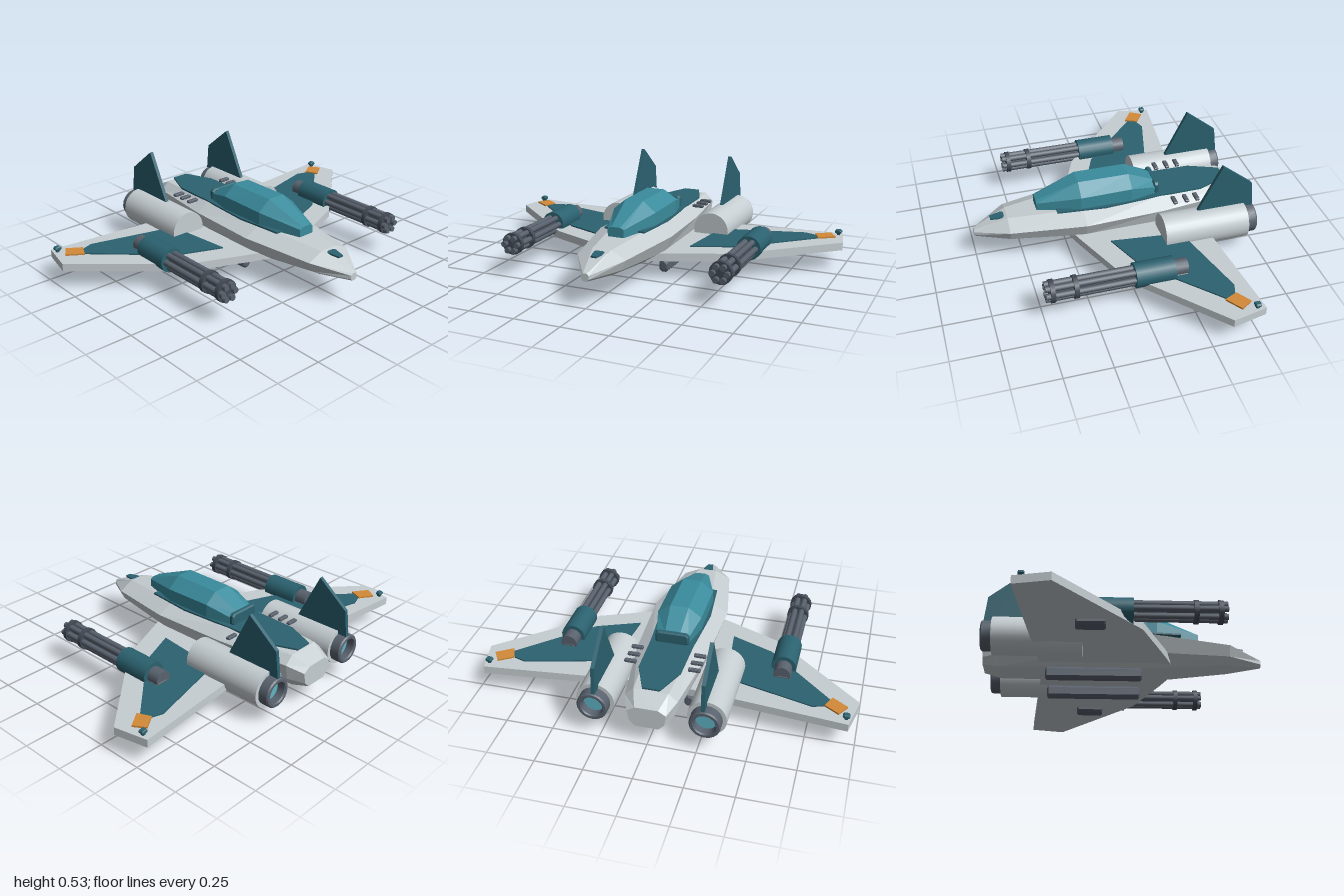
import * as THREE from 'three';
import { toCreasedNormals } from 'three/addons/utils/BufferGeometryUtils.js';

const paint = (name, color) => {
  const m = new THREE.MeshStandardMaterial({ color });
  m.name = name;
  return m;
};

// Lofts mirrored half profiles [x, y] (top to bottom), given front to back.
function loft(sections) {
  const rings = sections.map(([z, half]) => [
    ...half.map(([x, y]) => [x, y, z]),
    ...half.slice().reverse().map(([x, y]) => [-x, y, z]),
  ]);
  const n = rings[0].length, last = rings[rings.length - 1], pos = [];
  const tri = (a, b, c) => pos.push(...a, ...b, ...c);
  for (let i = 0; i < rings.length - 1; i++) {
    for (let j = 0; j < n; j++) {
      const k = (j + 1) % n, p = rings[i], q = rings[i + 1];
      tri(p[j], p[k], q[j]);
      tri(p[k], q[k], q[j]);
    }
  }
  for (let j = 1; j < n - 1; j++) {
    tri(rings[0][0], rings[0][j + 1], rings[0][j]);
    tri(last[0], last[j], last[j + 1]);
  }
  const g = new THREE.BufferGeometry();
  g.setAttribute('position', new THREE.Float32BufferAttribute(pos, 3));
  g.computeVertexNormals();
  return g;
}

// Box with all edges cut at c, centred on the origin.
function chamferBox(w, h, l, c) {
  const ring = (i) => {
    const x = w / 2 - i, y = h / 2 - i;
    return [[x - c, y], [x, y - c], [x, -y + c], [x - c, -y]];
  };
  const e = c * 0.6;
  return loft([[l / 2, ring(e)], [l / 2 - e, ring(0)], [-l / 2 + e, ring(0)], [-l / 2, ring(e)]]);
}

// Flat plate from plan points [x, z], with its top face at y = top.
function plate(points, top, thick) {
  const g = new THREE.ExtrudeGeometry(
    new THREE.Shape(points.map(([x, z]) => new THREE.Vector2(x, z))),
    { depth: thick, bevelEnabled: false });
  return g.rotateX(Math.PI / 2).translate(0, top, 0);
}

// Cylinder along z between two z positions.
function rod(r, z0, z1, sides) {
  return new THREE.CylinderGeometry(r, r, z1 - z0, sides)
    .rotateX(Math.PI / 2).translate(0, 0, (z0 + z1) / 2);
}

export function createModel() {
  const hull = paint('hull grey', 0xc6ced2);
  const teal = paint('dark teal', 0x2b6270);
  const glass = paint('canopy teal', 0x3b8c9d);
  const metal = paint('gunmetal', 0x59626e);
  const dark = paint('dark metal', 0x434b56);
  const orange = paint('orange', 0xd48a38);
  const glow = paint('engine glow', 0x62b4c6);

  const model = new THREE.Group();
  model.name = 'fighter';
  const add = (name, geo, mat, x = 0, y = 0, z = 0, parent = model) => {
    const m = new THREE.Mesh(geo, mat);
    m.name = name;
    m.position.set(x, y, z);
    parent.add(m);
    return m;
  };

  // Fuselage
  add('fuselage', loft([
    [0.75, [[0.01, 0.18], [0.02, 0.17], [0.02, 0.15], [0.01, 0.14]]],
    [0.57, [[0.05, 0.25], [0.135, 0.21], [0.11, 0.155], [0.06, 0.125]]],
    [0.17, [[0.11, 0.277], [0.208, 0.23], [0.17, 0.145], [0.09, 0.09]]],
    [-0.25, [[0.115, 0.278], [0.19, 0.23], [0.165, 0.145], [0.09, 0.09]]],
    [-0.66, [[0.09, 0.268], [0.135, 0.225], [0.125, 0.145], [0.08, 0.09]]],
    [-0.75, [[0.06, 0.225], [0.1, 0.2], [0.09, 0.14], [0.06, 0.11]]],
  ]), hull);

  // Canopy, its base deck and rear frame
  const deck = [[0.045, -0.66], [0.11, -0.5], [0.115, -0.27], [0.138, 0.05], [0.115, 0.31]];
  add('deck', plate([...deck, ...deck.map(([x, z]) => [-x, z]).reverse()], 0.283, 0.009), teal);
  add('canopy', loft([
    [0.41, [[0.025, 0.32], [0.045, 0.31], [0.045, 0.268]]],
    [0.18, [[0.05, 0.41], [0.12, 0.352], [0.12, 0.275]]],
    [-0.1, [[0.05, 0.41], [0.12, 0.357], [0.12, 0.275]]],
    [-0.25, [[0.04, 0.338], [0.085, 0.318], [0.085, 0.275]]],
  ]), glass);
  add('canopyFrame', chamferBox(0.18, 0.07, 0.03, 0.012), teal, 0, 0.31, -0.25);

  // Nose sensor
  add('noseSensor', plate([[-0.028, 0.595], [-0.018, 0.585], [0.018, 0.585], [0.028, 0.595],
    [0.015, 0.66], [-0.015, 0.66]], 0, 0.009).rotateX(0.08), teal, 0, 0.292, 0);

  for (const s of [1, -1]) {
    const side = new THREE.Group();
    side.name = s > 0 ? 'leftSide' : 'rightSide';
    model.add(side);
    const put = (name, geo, mat, x = 0, y = 0, z = 0, parent = side) =>
      add(name, geo, mat, s * x, y, z, parent);
    const flat = (pts, top, thick) => plate(pts.map(([x, z]) => [s * x, z]), top, thick);

    // Wing with painted panels
    put('wing', flat([[0.08, 0.26], [0.2, 0.215], [0.52, 0.08], [1, -0.35], [0.96, -0.533],
      [0.39, -0.475], [0.08, -0.445]], 0.15, 0.043), hull);
    put('wingPanel', flat([[0.27, 0.06], [0.5, -0.035], [0.86, -0.375], [0.83, -0.42],
      [0.77, -0.44], [0.39, -0.34], [0.31, -0.32]], 0.157, 0.008), teal);
    put('wingMarking', flat([[0.862, -0.355], [0.945, -0.412], [0.905, -0.475], [0.83, -0.425]],
      0.163, 0.009), orange);
    put('tipLight', chamferBox(0.036, 0.022, 0.03, 0.007), teal, 0.945, 0.17, -0.49);
    put('tipLightBase', new THREE.BoxGeometry(0.016, 0.016, 0.016), teal, 0.945, 0.156, -0.49);

    // Engine with open nozzle
    const engine = new THREE.Group();
    engine.name = 'engine';
    engine.position.set(s * 0.287, 0.17, 0);
    side.add(engine);
    add('engineBody', rod(0.1, -0.68, -0.215, 28), hull, 0, 0, 0, engine);
    const ring = [[0.08, 0.67], [0.08, 0.73], [0.074, 0.737], [0.06, 0.737], [0.055, 0.73], [0.055, 0.682]];
    add('nozzle', toCreasedNormals(new THREE.LatheGeometry(
      ring.map(([r, h]) => new THREE.Vector2(r, h)), 20).rotateX(-Math.PI / 2), 0.5), metal, 0, 0, 0, engine);
    add('nozzleGlow', rod(0.055, -0.69, -0.675, 20), glow, 0, 0, 0, engine);

    // Tail fin
    const fin = new THREE.Shape([[0.41, 0.255], [0.545, 0.53], [0.715, 0.395], [0.732, 0.25],
      [0.68, 0.25]].map(([x, y]) => new THREE.Vector2(x, y)));
    put('tailFin', new THREE.ExtrudeGeometry(fin, { depth: 0.02, bevelEnabled: false })
      .translate(0, 0, -0.01).rotateY(Math.PI / 2), teal, 0.277);

    // Rotary gun under a housing, on a pylon through the wing
    const gun = new THREE.Group();
    gun.name = 'gun';
    gun.position.set(s * 0.585, 0.174, 0);
    side.add(gun);
    add('gunHousing', rod(0.066, -0.18, 0.03, 18), teal, 0, 0, 0, gun);
    add('gunRear', rod(0.045, -0.25, -0.17, 14), metal, 0, 0, 0, gun);
    add('gunCore', rod(0.022, 0, 0.47, 10), dark, 0, 0, 0, gun);
    for (let i = 0; i < 6; i++) {
      const a = (i * Math.PI) / 3;
      add('barrel', rod(0.016, 0, 0.49, 8), metal, 0.038 * Math.cos(a), 0.038 * Math.sin(a), 0, gun);
    }
    for (const z of [0.335, 0.455]) {
      add('barrelClamp', rod(0.06, z - 0.012, z + 0.012, 16), dark, 0, 0, 0, gun);
    }
    put('gunPylon', chamferBox(0.084, 0.088, 0.15, 0.012), metal, 0.588, 0.126, -0.177);

    // Deck vents
    for (const z of [-0.45, -0.39, -0.325]) {
      put('vent', chamferBox(0.064, 0.016, 0.022, 0.004), metal, 0.168, 0.274, z);
    }

    // Landing skid
    put('skid', chamferBox(0.052, 0.066, 0.506, 0.014), metal, 0.13, 0.033, -0.158);
  }
  return model;
}
